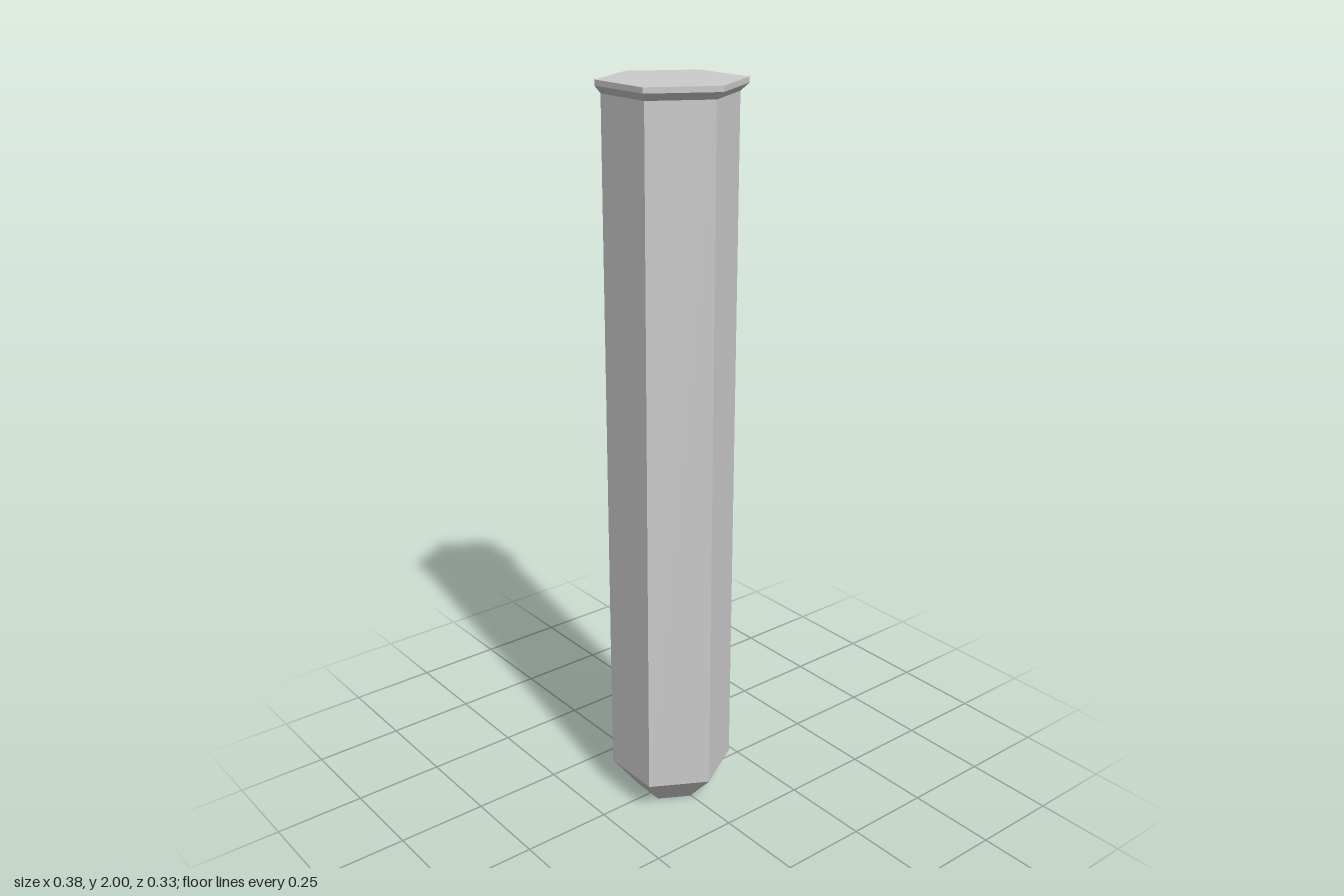
import * as THREE from 'three';

const SIDES = 6;
const material = new THREE.MeshStandardMaterial({ color: 0xcccccc, flatShading: true });

// Rings from bottom to top: y, corner radius, and centre in x and z
const tipEnd = { y: 0, r: 0.093, x: -0.01, z: 0.003 };
const shaftBase = { y: 0.092, r: 0.17, x: -0.005, z: 0.002 };
const shaftTop = { y: 1.967, r: 0.17, x: -0.005, z: 0.002 };
const rimBase = { y: 1.986, r: 0.188, x: 0, z: 0.001 };
const rimTop = { y: 2, r: 0.188, x: 0, z: 0.001 };

// Hexagonal section between two rings, with corners on the x axis
function section(name, low, high) {
  const h = high.y - low.y;
  const geometry = new THREE.CylinderGeometry(high.r, low.r, h, SIDES, 1, true);
  geometry.rotateY(Math.PI / SIDES);
  geometry.translate(0, h / 2, 0);
  // Shear so that each end sits on its own centre
  const p = geometry.attributes.position;
  for (let i = 0; i < p.count; i++) {
    const ring = p.getY(i) > h / 2 ? high : low;
    p.setXYZ(i, p.getX(i) + ring.x, p.getY(i) + low.y, p.getZ(i) + ring.z);
  }
  geometry.computeVertexNormals();
  const mesh = new THREE.Mesh(geometry, material);
  mesh.name = name;
  return mesh;
}

// Flat hexagon closing one end, facing up (1) or down (-1)
function endFace(name, ring, facing) {
  const geometry = new THREE.CircleGeometry(ring.r, SIDES);
  geometry.rotateX(-facing * Math.PI / 2);
  geometry.translate(ring.x, ring.y, ring.z);
  const mesh = new THREE.Mesh(geometry, material);
  mesh.name = name;
  return mesh;
}

export function createModel() {
  const group = new THREE.Group();
  group.name = 'hexagonalPost';
  group.add(
    endFace('tipFace', tipEnd, -1),
    section('taperedTip', tipEnd, shaftBase),
    section('shaft', shaftBase, shaftTop),
    section('capFlare', shaftTop, rimBase),
    section('capRim', rimBase, rimTop),
    endFace('capTop', rimTop, 1),
  );
  return group;
}
